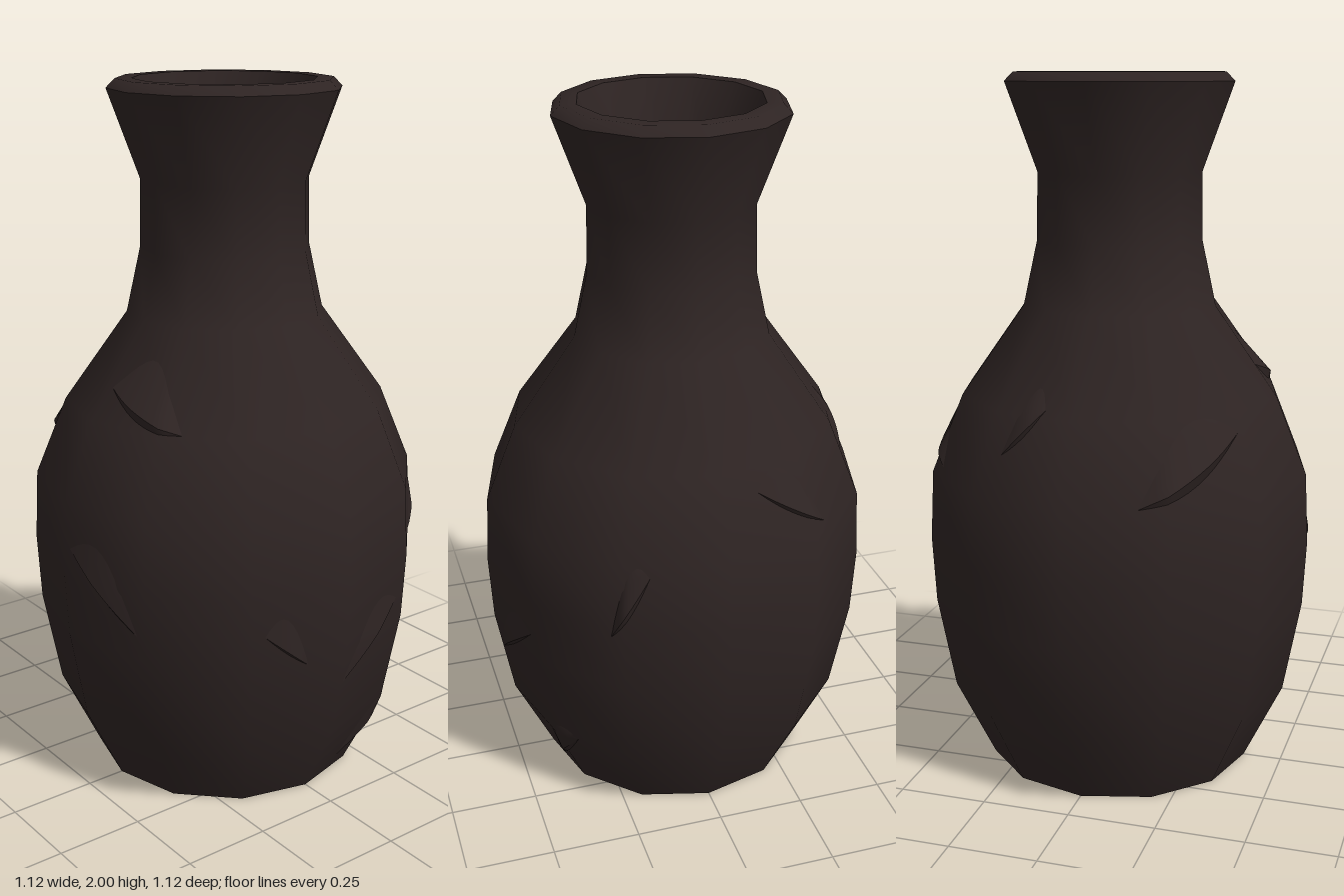
import * as THREE from 'three';

const SIDES = 12;
const OUTER = [[0.388, 0], [0.5, 0.23], [0.55, 0.5], [0.56, 0.69], [0.55, 0.89], [0.46, 1.11],
  [0.28, 1.36], [0.24, 1.54], [0.236, 1.73], [0.325, 1.975]];
const RIM = [[0.325, 1.975], [0.3, 2], [0.255, 2]];
const INNER = [[0.255, 2], [0.15, 1.72], [0.145, 1.52], [0.2, 1.34], [0.38, 1.08], [0.46, 0.7],
  [0.4, 0.26], [0.3, 0.12], [0, 0.12]];
const BASE = [[0, 0], [0.388, 0]];

// Point on the twelve-sided outer wall at an azimuth (degrees from +z towards +x), pushed out a little
function wallPoint(azimuth, y, out) {
  let k = 0;
  while (k < OUTER.length - 2 && y > OUTER[k + 1][1]) k++;
  const [r0, y0] = OUTER[k], [r1, y1] = OUTER[k + 1];
  const r = r0 + (r1 - r0) * (y - y0) / (y1 - y0);
  const step = 360 / SIDES;
  const local = (((azimuth % step) + step) % step) - step / 2;
  const rad = THREE.MathUtils.degToRad;
  const d = r * Math.cos(rad(step / 2)) / Math.cos(rad(local)) + out;
  return [d * Math.sin(rad(azimuth)), y, d * Math.cos(rad(azimuth))];
}

// Grid surface from a rule point(u, v)
function grid(nu, nv, point) {
  const pos = [], index = [];
  for (let j = 0; j <= nv; j++)
    for (let i = 0; i <= nu; i++) pos.push(...point(i / nu, j / nv));
  for (let j = 0; j < nv; j++)
    for (let i = 0; i < nu; i++) {
      const a = j * (nu + 1) + i, c = a + nu + 1;
      index.push(a, a + 1, c, a + 1, c + 1, c);
    }
  const g = new THREE.BufferGeometry();
  g.setAttribute('position', new THREE.Float32BufferAttribute(pos, 3));
  g.setIndex(index);
  g.computeVertexNormals();
  return g;
}

export function createModel() {
  const model = new THREE.Group();
  const clay = new THREE.MeshStandardMaterial({ color: 0x2e2423 });
  clay.name = 'dark brown clay';

  const add = (name, geometry, parent = model) => {
    const mesh = new THREE.Mesh(geometry, clay);
    mesh.name = name;
    parent.add(mesh);
  };
  const lathe = (profile) =>
    new THREE.LatheGeometry(profile.map(([r, y]) => new THREE.Vector2(r, y)), SIDES);

  // Vase shell; the pieces meet at sharp edges
  add('outerWall', lathe(OUTER));
  add('rim', lathe(RIM));
  add('innerWall', lathe(INNER));
  const base = lathe(BASE);
  base.index.array.reverse();
  base.computeVertexNormals();
  // The base winding is set so that it faces down
  if (base.attributes.normal.getY(1) > 0) {
    base.index.array.reverse();
    base.computeVertexNormals();
  }
  add('base', base);

  // Cracks: start azimuth and height, end azimuth and height, lip height, lip depth
  const cracks = [
    [-70, 0.89, -30, 1.07, 0.04, 0.028],
    [0, 1.2, 40, 1.11, 0.03, 0.022],
    [0, 0.78, 29, 0.55, 0.025, 0.014],
    [62, 0.6, 80, 0.46, 0.012, 0.008],
    [88, 0.37, 119, 0.59, 0.015, 0.01],
    [145, 0.65, 158, 0.87, 0.03, 0.014],
    [107, 0.03, 131, 0.24, 0.025, 0.012],
    [190, 1.06, 218, 0.9, 0.015, 0.012],
    [245, 0.99, 261, 1.14, 0.015, 0.012],
  ];
  cracks.forEach(([a0, y0, a1, y1, width, depth]) => {
    const crack = new THREE.Group();
    crack.name = 'crack';
    const along = (u) => [a0 + (a1 - a0) * u, y0 + (y1 - y0) * u, Math.sin(Math.PI * u)];
    // Raised shard fading upwards into the wall
    add('shard', grid(12, 4, (u, v) => {
      const [a, y, s] = along(u);
      return wallPoint(a, y + 0.14 * v * s, -0.004 + (depth + 0.004) * s * (1 - v));
    }), crack);
    // Underside of the shard
    add('crackLip', grid(12, 1, (u, v) => {
      const [a, y, s] = along(u);
      const low = Math.max(0.005, y - width * s * (1 - v));
      return wallPoint(a, low, -0.004 + (depth + 0.004) * s * v);
    }), crack);
    model.add(crack);
  });

  return model;
}
